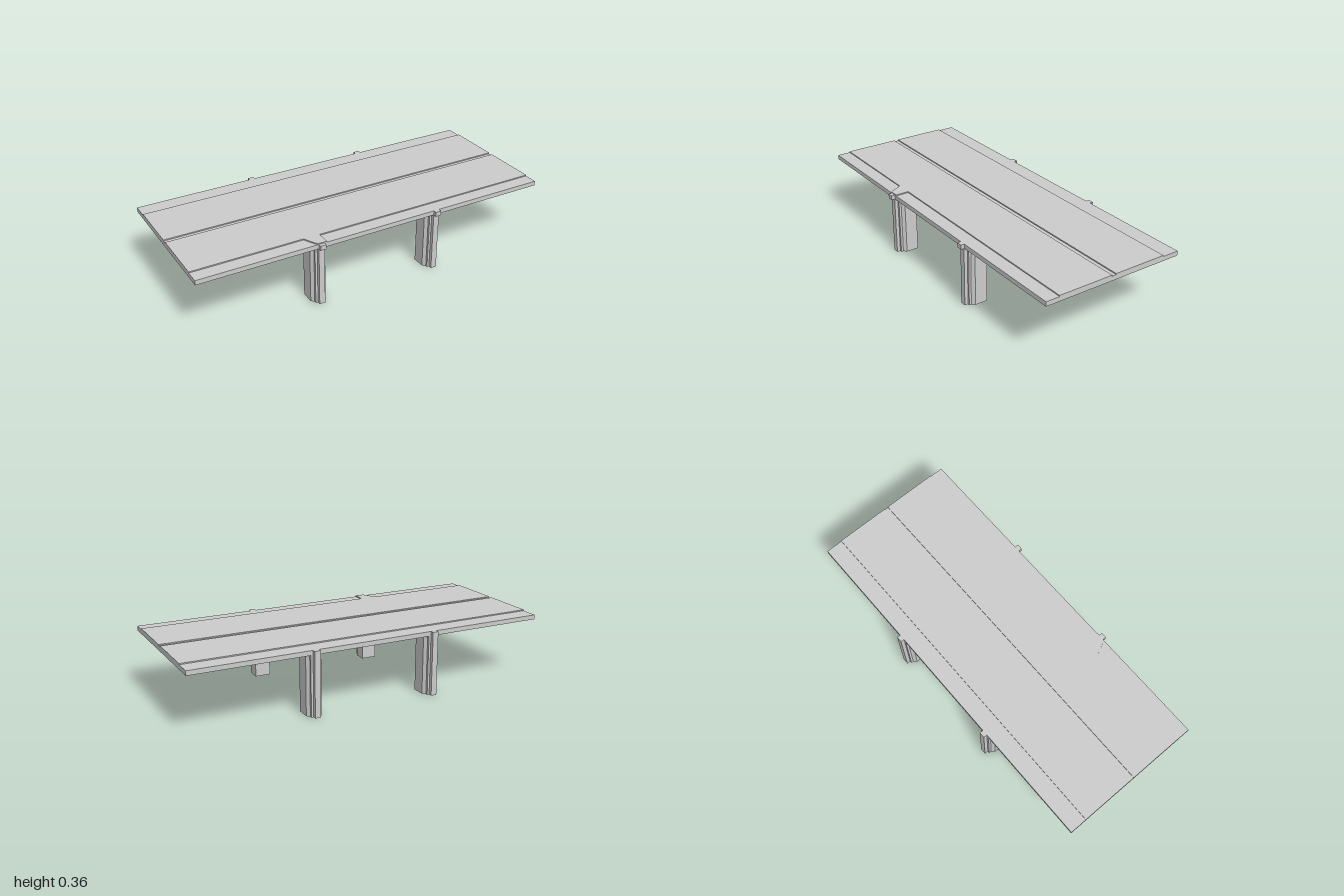
import * as THREE from 'three';

const material = new THREE.MeshStandardMaterial({ color: 0xcccccc, flatShading: true });

// Extrudes an outline of [x, z] points upwards from y0 to y1
function slab(name, points, y0, y1) {
  const shape = new THREE.Shape(points.map(([x, z]) => new THREE.Vector2(x, -z)));
  const geometry = new THREE.ExtrudeGeometry(shape, { depth: y1 - y0, bevelEnabled: false });
  geometry.rotateX(-Math.PI / 2);
  geometry.translate(0, y0, 0);
  const mesh = new THREE.Mesh(geometry, material);
  mesh.name = name;
  return mesh;
}

const rect = (x0, x1, z0, z1) => [[x0, z0], [x1, z0], [x1, z1], [x0, z1]];

// Half outline of a pillar: half width and distance outwards from its inner face
const pillarHalf = [
  [0.0425, 0], [0.0425, 0.074], [0.028, 0.09], [0.028, 0.103], [0.016, 0.103], [0.016, 0.123],
];

function pillarOutline(cx, innerZ, side, length) {
  const scale = length / 0.123;
  const half = pillarHalf.map(([w, d]) => [w, innerZ + side * d * scale]);
  const left = half.map(([w, z]) => [cx - w, z]).reverse();
  return [...half.map(([w, z]) => [cx + w, z]), ...left];
}

export function createModel() {
  const group = new THREE.Group();
  group.name = 'bridge';

  // Deck with two raised lanes and a groove between them
  group.add(slab('deck', rect(-1, 1, -0.4, 0.4), 0.325, 0.35));
  group.add(slab('backLane', rect(-1, 1, -0.305, -0.007), 0.35, 0.356));
  // The front lane widens to the deck edge above one pillar
  group.add(slab('frontLane', [
    [-1, 0.018], [1, 0.018], [1, 0.325], [-0.31, 0.325], [-0.31, 0.4],
    [-0.36, 0.4], [-0.37, 0.385], [-0.4, 0.325], [-1, 0.325],
  ], 0.35, 0.356));

  // Ribbed pillars with tabs rising beside the deck edge
  for (const x of [-0.34, 0.34]) {
    group.add(slab('frontPillar', pillarOutline(x, 0.285, 1, 0.117), 0, 0.325));
    group.add(slab('frontTab', rect(x - 0.016, x + 0.016, 0.4, 0.42), 0.325, 0.35));
    group.add(slab('backPillar', pillarOutline(x, -0.297, -1, 0.123), 0, 0.325));
    group.add(slab('backTab', rect(x - 0.016, x + 0.016, -0.42, -0.4), 0.325, 0.35));
  }
  return group;
}
